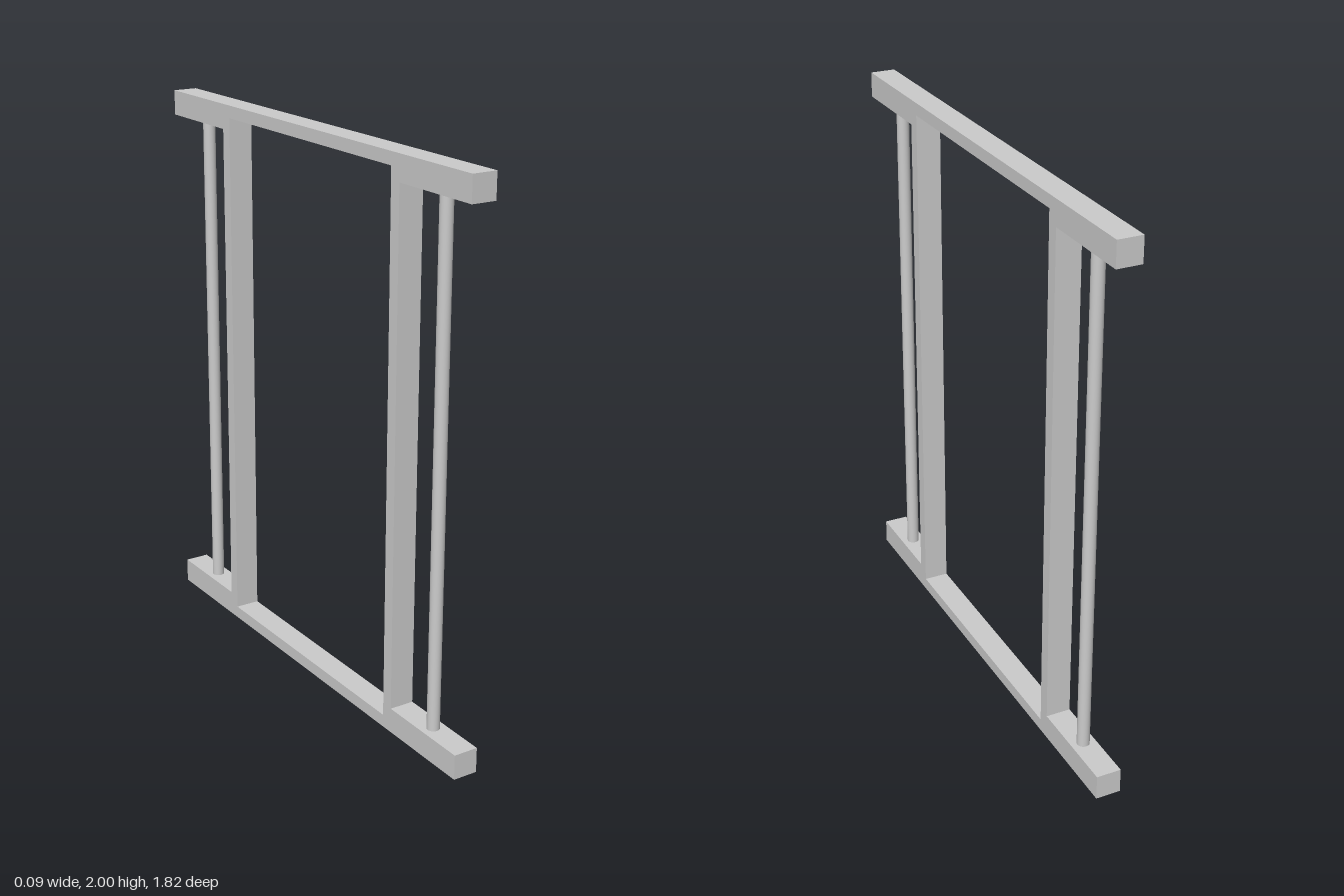
import * as THREE from 'three';

const DEPTH = 0.09;      // thickness along x
const HEIGHT = 2;
const HALF = 0.908;      // half length of the rails
const RAIL = 0.09;       // rail height at the ends
const OPEN = 0.5;        // half width of the central opening
const WALL = 0.045;      // thickness around the opening
const ROD_Z = 0.728;

function polygon(PathType, points) {
  return new PathType(points.map(([x, y]) => new THREE.Vector2(x, y)));
}

export function createModel() {
  const group = new THREE.Group();
  const material = new THREE.MeshStandardMaterial({ color: 0xcccccc });

  // One-piece frame: I-shaped outline with a rectangular opening
  const post = OPEN + WALL;
  const top = HEIGHT - RAIL;
  const outline = polygon(THREE.Shape, [
    [-HALF, 0], [HALF, 0], [HALF, RAIL], [post, RAIL], [post, top], [HALF, top],
    [HALF, HEIGHT], [-HALF, HEIGHT], [-HALF, top], [-post, top], [-post, RAIL], [-HALF, RAIL],
  ]);
  outline.holes.push(polygon(THREE.Path, [
    [-OPEN, WALL], [-OPEN, HEIGHT - WALL], [OPEN, HEIGHT - WALL], [OPEN, WALL],
  ]));
  const frameGeometry = new THREE.ExtrudeGeometry(outline, { depth: DEPTH, bevelEnabled: false });
  frameGeometry.translate(0, 0, -DEPTH / 2).rotateY(Math.PI / 2);
  const frame = new THREE.Mesh(frameGeometry, material);
  frame.name = 'frame';
  group.add(frame);

  // Round rods joining the rail ends
  const rodGeometry = new THREE.CylinderGeometry(0.0225, 0.0225, HEIGHT - 2 * RAIL, 32);
  for (const [name, side] of [['frontRod', 1], ['backRod', -1]]) {
    const rod = new THREE.Mesh(rodGeometry, material);
    rod.name = name;
    rod.position.set(0, HEIGHT / 2, side * ROD_Z);
    group.add(rod);
  }
  return group;
}
